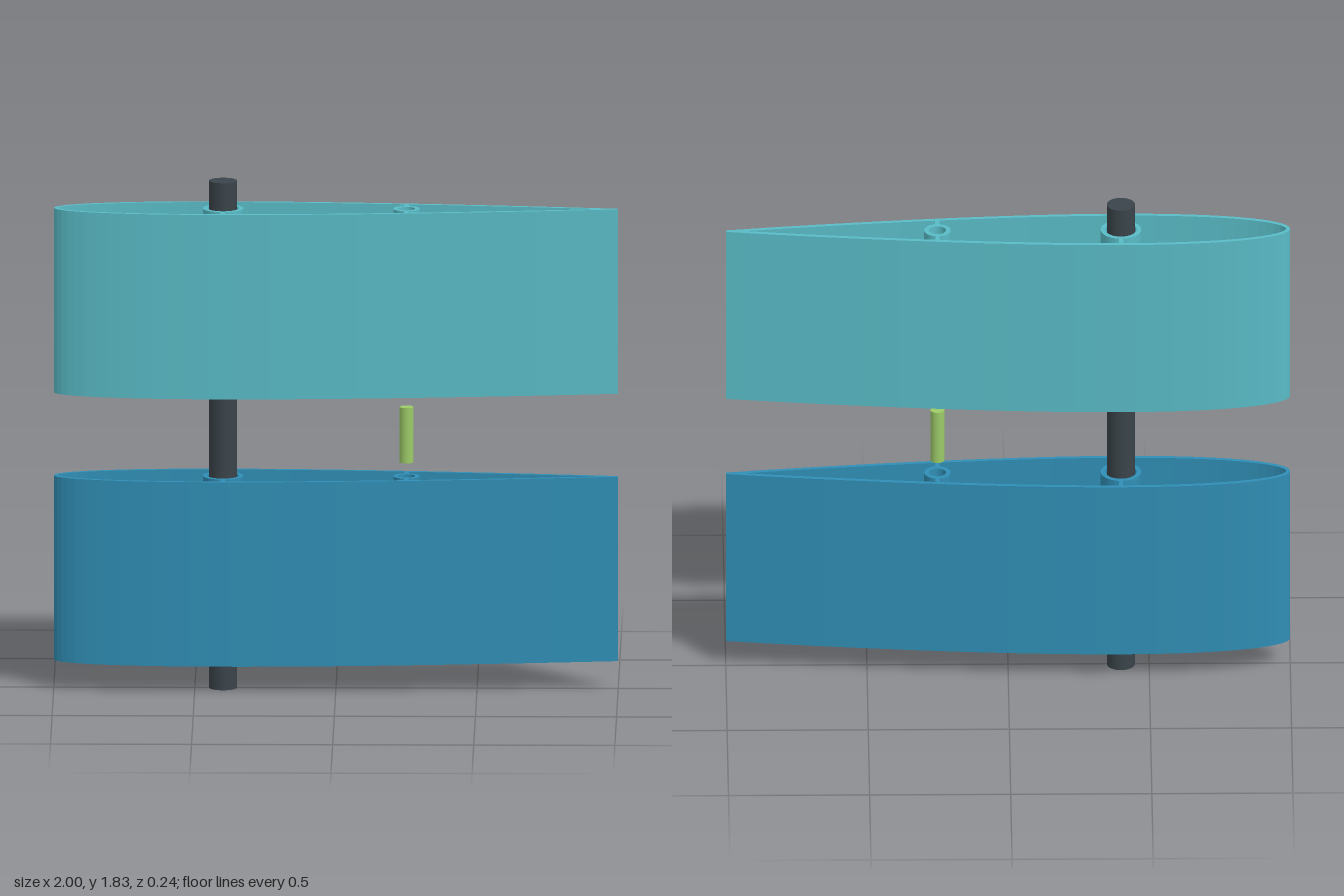
import * as THREE from 'three';

const WALL = 0.015, HEIGHT = 0.667;
const SPAR_X = -0.4, PIN_X = 0.25;

// half thickness of a symmetric 12% aerofoil with a blunt tail, u = 0 nose to 1 tail
const half = (u) => 1.2 * (0.2969 * Math.sqrt(u) - 0.126 * u - 0.3516 * u * u
  + 0.2843 * u ** 3 - 0.1015 * u ** 4) + 0.003 * u;

// upper contour from nose to tail
function upperContour(n = 40) {
  const pts = [];
  for (let i = 0; i <= n; i++) {
    const u = (1 - Math.cos((Math.PI * i) / n)) / 2;
    pts.push(new THREE.Vector2(2 * u - 1, half(u)));
  }
  return pts;
}

// contour moved inward along its normals, cut where it meets the centre line
function insetContour(pts, d) {
  const out = [new THREE.Vector2(pts[0].x + d, 0)];
  for (let i = 1; i < pts.length - 1; i++) {
    const t = pts[i + 1].clone().sub(pts[i - 1]).normalize();
    const p = new THREE.Vector2(pts[i].x + t.y * d, pts[i].y - t.x * d);
    if (p.y > 0.0005 && p.x > out[out.length - 1].x) out.push(p);
  }
  return out;
}

// closed clockwise loop from an upper contour that begins on the centre line
const mirrored = (pts) => [
  ...pts, ...pts.slice(1).reverse().map((p) => new THREE.Vector2(p.x, -p.y)),
];

function extrudeUp(shape) {
  const geo = new THREE.ExtrudeGeometry(shape, { depth: HEIGHT, bevelEnabled: false, curveSegments: 32 });
  return geo.rotateX(-Math.PI / 2);
}

// the outline and its hole run in opposite directions so both walls face outward
function skinGeometry() {
  const upper = upperContour();
  const shape = new THREE.Shape(mirrored(upper).reverse());
  shape.holes.push(new THREE.Path(mirrored(insetContour(upper, WALL))));
  return extrudeUp(shape);
}

function tubeGeometry(outer, inner) {
  const shape = new THREE.Shape().absarc(0, 0, outer, 0, Math.PI * 2, false);
  shape.holes.push(new THREE.Path().absarc(0, 0, inner, 0, Math.PI * 2, true));
  return extrudeUp(shape);
}

function add(parent, name, geo, mat, x = 0, y = 0, z = 0) {
  const mesh = new THREE.Mesh(geo, mat);
  mesh.name = name;
  mesh.position.set(x, y, z);
  parent.add(mesh);
}

// hollow wing section with two sleeves held by webs
function wingSection(name, mat, y) {
  const wing = new THREE.Group();
  wing.name = name;
  wing.position.y = y;
  add(wing, 'skin', skinGeometry(), mat);
  const sleeves = [
    ['sparSleeve', SPAR_X, 0.072, 0.055],
    ['pinSleeve', PIN_X, 0.047, 0.03],
  ];
  for (const [label, x, outer, inner] of sleeves) {
    add(wing, label, tubeGeometry(outer, inner), mat, x);
    const start = outer - 0.004, end = half((x + 1) / 2) - 0.006;
    for (const s of [1, -1]) {
      add(wing, label + 'Web', new THREE.BoxGeometry(WALL, HEIGHT, end - start), mat,
        x, HEIGHT / 2, (s * (start + end)) / 2);
    }
  }
  return wing;
}

export function createModel() {
  const material = (name, color) => {
    const m = new THREE.MeshStandardMaterial({ color });
    m.name = name;
    return m;
  };
  const blue = material('deep blue', 0x308eb5);
  const teal = material('teal', 0x59bbc6);
  const charcoal = material('charcoal', 0x3a444a);
  const green = material('leaf green', 0x9cca68);

  const model = new THREE.Group();
  model.name = 'wingSections';
  model.add(wingSection('lowerWing', blue, 0.1));
  model.add(wingSection('upperWing', teal, 1.067));

  // spar through both sections, and the loose alignment pin between them
  add(model, 'spar', new THREE.CylinderGeometry(0.05, 0.05, 1.834, 32), charcoal, SPAR_X, 0.917);
  add(model, 'alignmentPin', new THREE.CylinderGeometry(0.025, 0.025, 0.2, 24), green, PIN_X, 0.917);
  return model;
}
